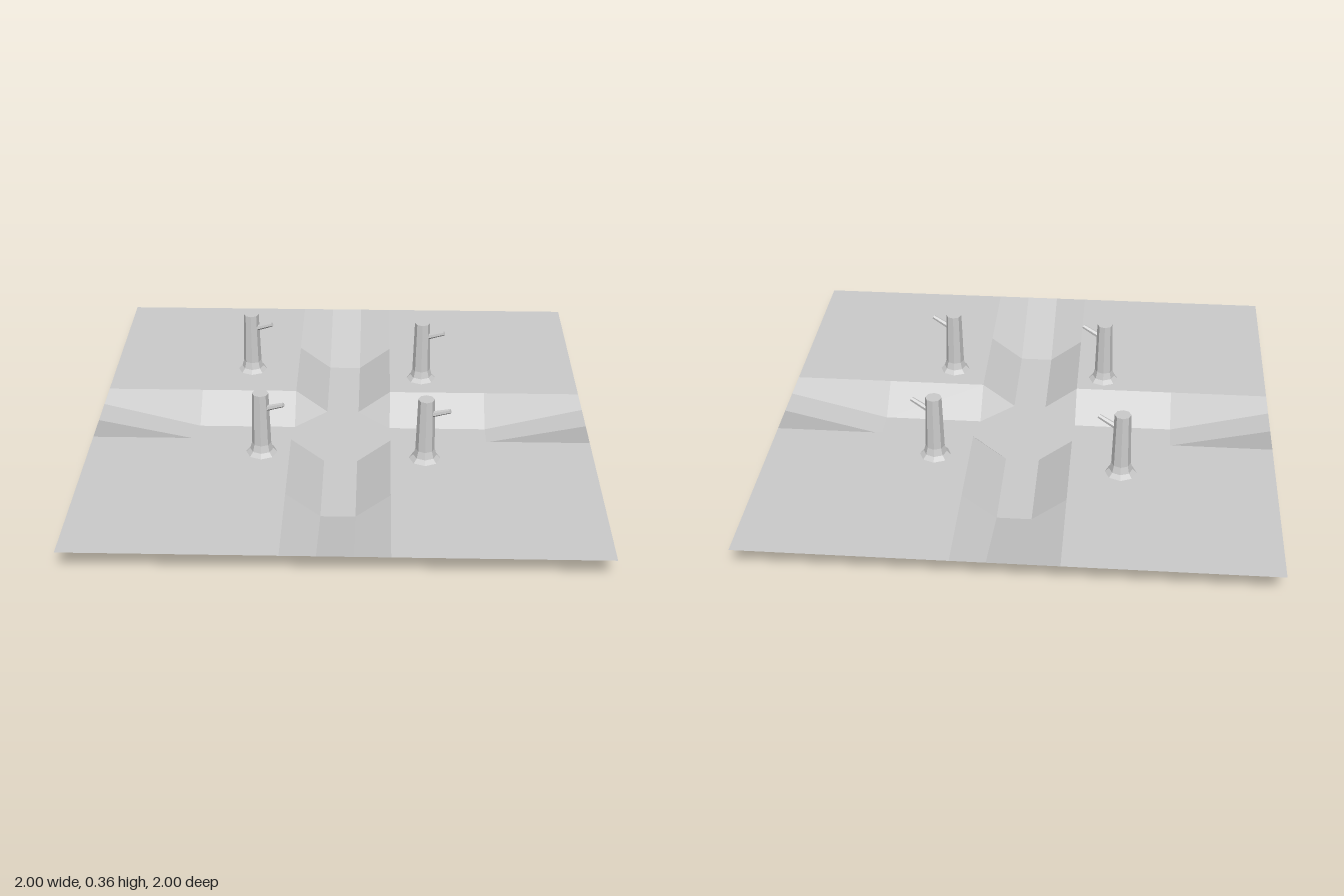
import * as THREE from 'three';

const stone = new THREE.MeshStandardMaterial({ color: 0xcccccc, side: THREE.DoubleSide });
stone.name = 'plain grey';

const TOP = 0.1;      // ground level
const FLOOR = 0.067;  // half width of the trench floor
const BANK = 0.2;     // half width of the trench at ground level
const RAMP = 0.6;     // where the trench starts to rise to the border

// Flat-shaded sheet from polygons, each fanned from its first corner and facing up
function sheet(name, polygons) {
  const positions = [], normals = [];
  for (const polygon of polygons) {
    let pts = polygon.map(p => new THREE.Vector3(...p));
    const facing = () => {
      const n = new THREE.Vector3();
      for (let i = 1; i < pts.length - 1; i++) {
        n.add(pts[i].clone().sub(pts[0]).cross(pts[i + 1].clone().sub(pts[0])));
      }
      return n.normalize();
    };
    if (facing().y < 0) pts = [pts[0], ...pts.slice(1).reverse()];
    const n = facing();
    for (let i = 1; i < pts.length - 1; i++) {
      for (const p of [pts[0], pts[i], pts[i + 1]]) {
        positions.push(p.x, p.y, p.z);
        normals.push(n.x, n.y, n.z);
      }
    }
  }
  const geo = new THREE.BufferGeometry();
  geo.setAttribute('position', new THREE.Float32BufferAttribute(positions, 3));
  geo.setAttribute('normal', new THREE.Float32BufferAttribute(normals, 3));
  const mesh = new THREE.Mesh(geo, stone);
  mesh.name = name;
  return mesh;
}

// Land with a cross-shaped trench, made from one arm turned four times
function createTerrain() {
  const f = FLOOR, b = BANK, r = RAMP, t = TOP;
  const plateau = [], banks = [], floor = [];
  for (let k = 0; k < 4; k++) {
    const turn = polygon => polygon.map(([x, y, z]) => {
      for (let i = 0; i < k; i++) [x, z] = [z, -x];
      return [x, y, z];
    });
    plateau.push(turn([[b, t, b], [b, t, 1], [1, t, 1], [1, t, b]]));
    banks.push(turn([[b, t, b], [f, 0, b], [b, 0, f]]));
    for (const s of [-1, 1]) {
      banks.push(turn([[s * b, t, b], [s * f, 0, b], [s * f, 0, r], [s * b, t, r]]));
      // bank fading out towards the border
      banks.push(turn([[s * b, t, r], [s * f, 0, r], [s * f, t, 1], [s * b, t, 1]]));
    }
    floor.push(turn([[-f, 0, b], [f, 0, b], [f, 0, r], [-f, 0, r]]));
    floor.push(turn([[-f, 0, r], [f, 0, r], [f, t, 1], [-f, t, 1]]));
  }
  // crossing
  floor.push([[f, 0, b], [b, 0, f], [b, 0, -f], [f, 0, -b],
    [-f, 0, -b], [-b, 0, -f], [-b, 0, f], [-f, 0, b]]);

  const terrain = new THREE.Group();
  terrain.name = 'terrain';
  terrain.add(sheet('plateau', plateau), sheet('trenchBanks', banks), sheet('trenchFloor', floor));
  return terrain;
}

// Bare trunk with flared foot and one broken branch
function createTrunk(x, z) {
  const tree = new THREE.Group();
  tree.name = 'deadTree';

  const profile = [[0.062, 0], [0.046, 0.016], [0.038, 0.045], [0.032, 0.265], [0, 0.265]]
    .map(p => new THREE.Vector2(...p));
  const lathe = new THREE.LatheGeometry(profile, 8).toNonIndexed();
  lathe.computeVertexNormals();
  const trunk = new THREE.Mesh(lathe, stone);
  trunk.name = 'trunk';

  const start = new THREE.Vector3(0.015, 0.2, 0.006);
  const end = new THREE.Vector3(0.092, 0.233, 0.034);
  const axis = end.clone().sub(start);
  const stick = new THREE.CylinderGeometry(0.009, 0.012, axis.length(), 6).toNonIndexed();
  stick.computeVertexNormals();
  const branch = new THREE.Mesh(stick, stone);
  branch.name = 'branch';
  branch.position.copy(start).add(end).multiplyScalar(0.5);
  branch.quaternion.setFromUnitVectors(new THREE.Vector3(0, 1, 0), axis.normalize());

  tree.add(trunk, branch);
  tree.position.set(x, TOP, z);
  return tree;
}

export function createModel() {
  const model = new THREE.Group();
  model.name = 'crossroadsTrench';
  model.add(createTerrain());
  for (const [x, z] of [[-0.4, -0.4], [0.335, -0.333], [-0.31, 0.295], [0.335, 0.328]]) {
    model.add(createTrunk(x, z));
  }
  return model;
}
